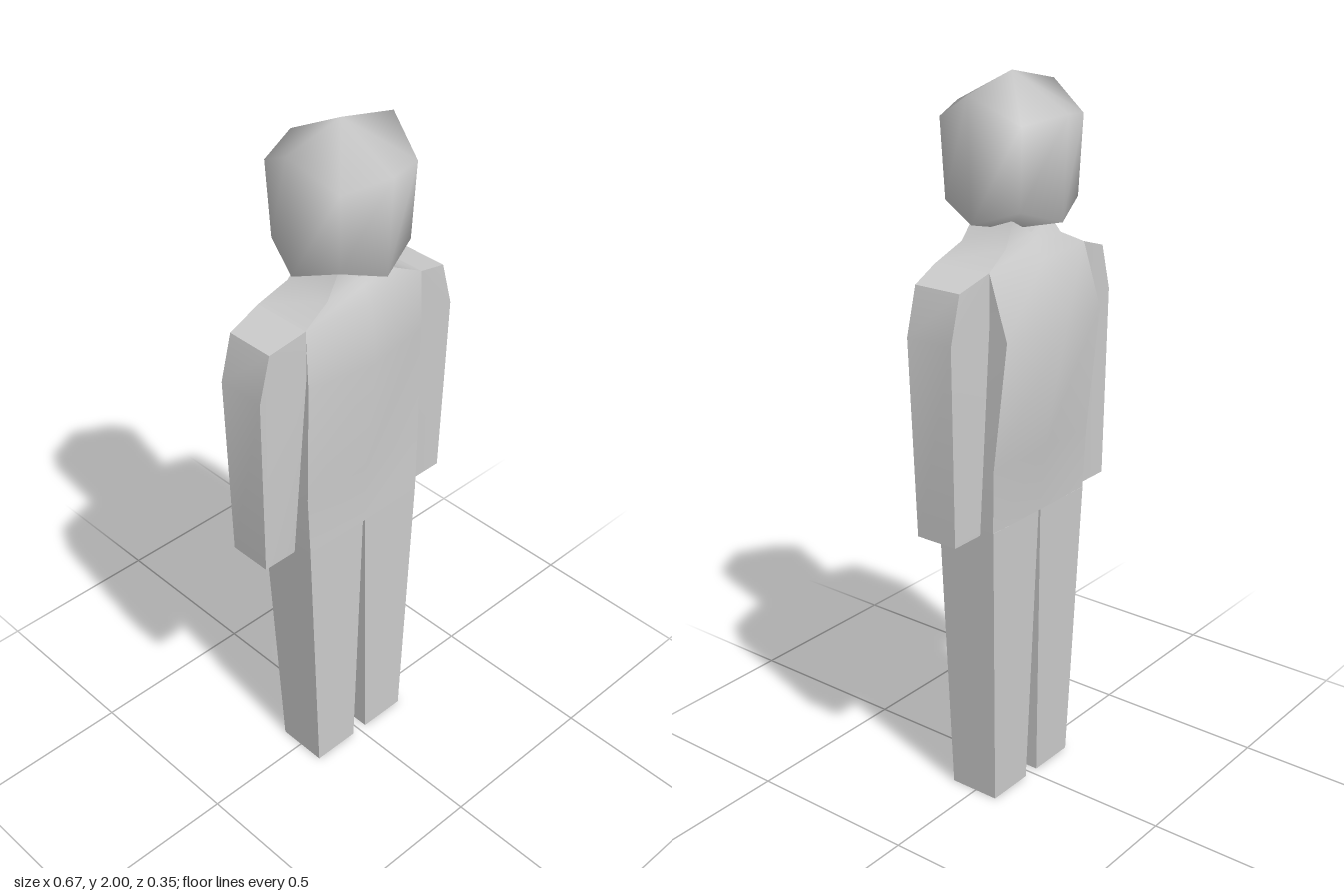
import * as THREE from 'three';
import { toCreasedNormals } from 'three/addons/utils/BufferGeometryUtils.js';

const material = new THREE.MeshStandardMaterial({ color: 0xcccccc });

function part(name, geometry) {
  const mesh = new THREE.Mesh(geometry, material);
  mesh.name = name;
  return mesh;
}

// Skins rings of [x, y, z] points (counter-clockwise from above, lowest ring
// first) and closes both ends with a fan to a centre point.
function loft(rings, bottom, top) {
  const n = rings[0].length;
  const index = [];
  const last = (rings.length - 1) * n;
  const b = rings.length * n;
  for (let i = 0; i < n; i++) {
    const j = (i + 1) % n;
    for (let r = 0; r < last; r += n) {
      index.push(r + i, r + j, r + n + j, r + i, r + n + j, r + n + i);
    }
    index.push(j, i, b, last + i, last + j, b + 1);
  }
  const geometry = new THREE.BufferGeometry();
  const points = [...rings.flat(), bottom, top].flat();
  geometry.setAttribute('position', new THREE.Float32BufferAttribute(points, 3));
  geometry.setIndex(index);
  geometry.computeVertexNormals();
  return geometry;
}

// Smooth eight-sided head: axis points and diagonal points at their own heights
function makeHead() {
  const ring = (ax, ay, az, zy, d, dy) => [
    [0, zy, az], [d, dy, d], [ax, ay, 0], [d, dy, -d],
    [0, zy, -az], [-d, dy, -d], [-ax, ay, 0], [-d, dy, d],
  ];
  return loft([
    ring(0.165, 1.64, 0.16, 1.64, 0.12, 1.68),
    ring(0.175, 1.96, 0.175, 1.91, 0.128, 1.89),
  ], [0, 1.6, 0], [0, 2, 0]);
}

// Torso and neck: each ring has a centre ridge at front and back
function makeTorso() {
  // y, half width, front side z, front centre z, back side z, back centre z, centre y
  const rings = [
    [0.84, 0.2, 0.09, 0.093, -0.093, -0.095],
    [1.02, 0.205, 0.088, 0.092, -0.1, -0.11],
    [1.37, 0.2, 0.092, 0.125, -0.14, -0.176],
    [1.54, 0.2, 0.085, 0.105, -0.085, -0.105],
    [1.58, 0.115, 0.072, 0.08, -0.07, -0.075],
    [1.64, 0.072, 0.065, 0.068, -0.06, -0.062, 1.6],
  ].map(([y, w, fs, fc, bs, bc, cy = y]) => [
    [-w, y, fs], [0, cy, fc], [w, y, fs], [w, y, bs], [0, cy, bc], [-w, y, bs],
  ]);
  return toCreasedNormals(loft(rings, [0, 0.84, 0], [0, 1.6, 0]), 0.75);
}

// Tapered leg
function makeLeg(side) {
  const ring = (y, inner, outer, front, back) => {
    const [l, r] = side > 0 ? [inner, outer] : [-outer, -inner];
    return [[l, y, front], [r, y, front], [r, y, back], [l, y, back]];
  };
  const rings = [
    ring(0, 0.025, 0.168, 0.08, -0.07),
    ring(0.84, 0.004, 0.2, 0.09, -0.094),
  ];
  return toCreasedNormals(loft(rings, [side * 0.1, 0, 0], [side * 0.1, 0.84, 0]), 0.6);
}

// Arm: flat outline given a depth that thins away from the shoulder
function makeArm(side) {
  const outline = [[0.2, 1.41], [0.2, 1.54], [0.302, 1.508], [0.337, 1.38], [0.327, 0.838], [0.225, 0.838]];
  const shape = new THREE.Shape(outline.map(([x, y]) => new THREE.Vector2(side * x, y)));
  const geometry = new THREE.ExtrudeGeometry(shape, { depth: 1, bevelEnabled: false });
  const p = geometry.attributes.position;
  for (let i = 0; i < p.count; i++) {
    const t = THREE.MathUtils.clamp((Math.abs(p.getX(i)) - 0.2) / 0.1, 0, 1);
    const hand = p.getY(i) < 0.9;
    const front = hand ? 0.055 : THREE.MathUtils.lerp(0.086, 0.067, t);
    const back = hand ? -0.07 : THREE.MathUtils.lerp(-0.085, -0.074, t);
    p.setZ(i, p.getZ(i) > 0.5 ? front : back);
  }
  return toCreasedNormals(geometry, 0.35);
}

export function createModel() {
  const model = new THREE.Group();
  model.name = 'figure';
  model.add(part('head', makeHead()), part('torso', makeTorso()));
  for (const [name, side] of [['left', 1], ['right', -1]]) {
    model.add(part(name + 'Arm', makeArm(side)), part(name + 'Leg', makeLeg(side)));
  }
  return model;
}
